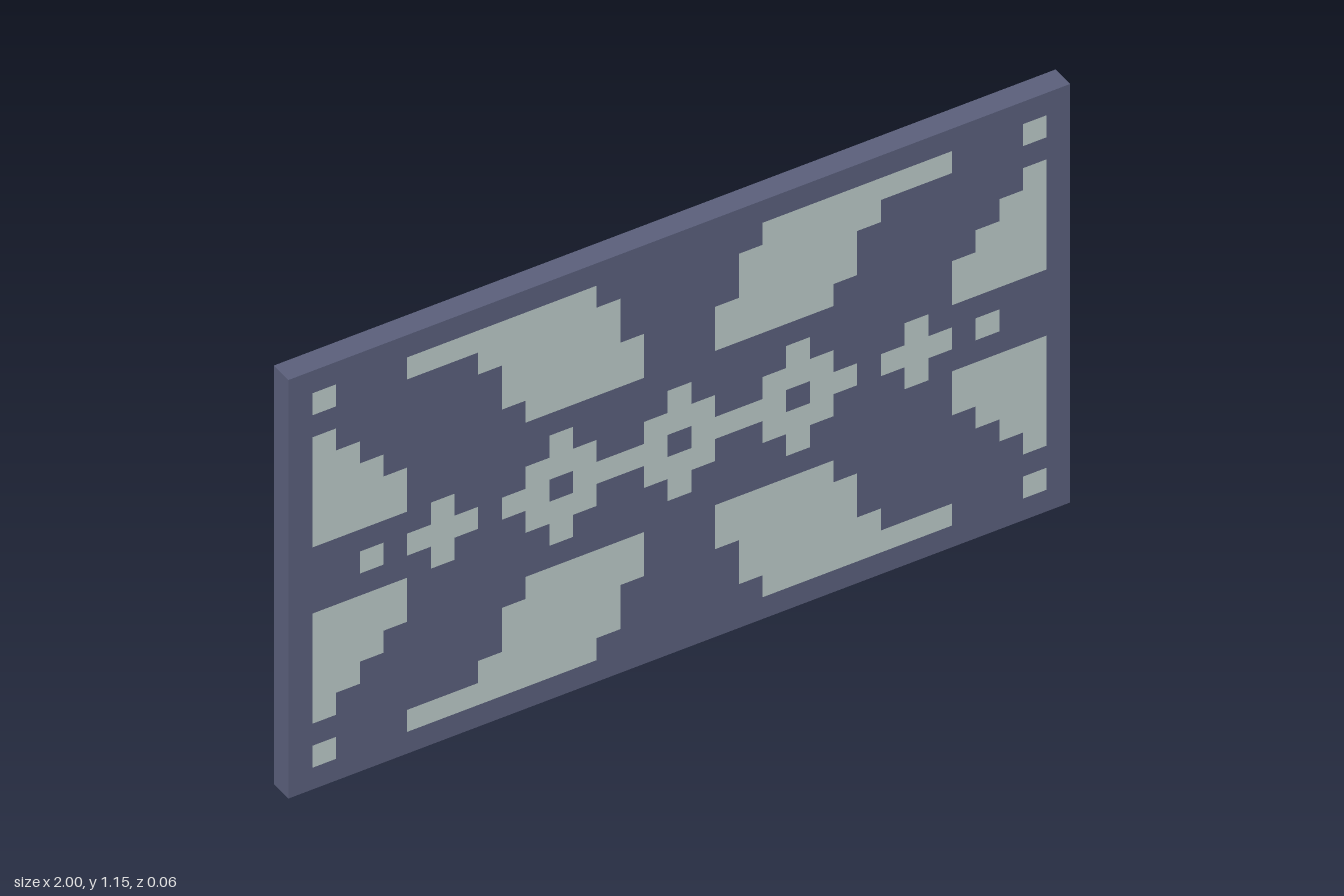
import * as THREE from 'three';
import { mergeGeometries } from 'three/addons/utils/BufferGeometryUtils.js';

const COLS = 33, ROWS = 19, CELL = 2 / COLS;
const HEIGHT = ROWS * CELL, DEPTH = CELL;

// Each motif is given for the upper left quarter as [row, first column, last column]
const MOTIFS = {
  cornerSquares: [[1, 1, 1]],
  sideFans: [[3, 1, 1], [4, 1, 2], [5, 1, 3], [6, 1, 4], [7, 1, 4]],
  petals: [[1, 5, 12], [2, 8, 13], [3, 9, 13], [4, 9, 14], [5, 10, 14]],
  sideDots: [[9, 3, 3]],
  crosses: [[8, 6, 6], [9, 5, 7]],
  sideLozenges: [[7, 11, 11], [8, 10, 12], [9, 9, 10], [9, 12, 13]],
  centreLozenge: [[7, 16, 16], [8, 15, 17], [9, 14, 15], [9, 17, 18]],
};

// Mirror runs across both axes, dropping the ones that land on themselves
function mirrorRuns(runs) {
  const found = new Map();
  for (const [row, a, b] of runs) {
    for (const r of [row, ROWS - 1 - row]) {
      for (const run of [[r, a, b], [r, COLS - 1 - b, COLS - 1 - a]]) found.set(run.join(), run);
    }
  }
  return [...found.values()];
}

// Thin painted faces on the front and back of the panel
function motifGeometry(runs) {
  const faces = [];
  for (const [row, a, b] of mirrorRuns(runs)) {
    const x = ((a + b + 1) / 2) * CELL - 1;
    const y = HEIGHT - (row + 0.5) * CELL;
    const z = DEPTH / 2 + 0.001;
    const width = (b - a + 1) * CELL;
    faces.push(new THREE.PlaneGeometry(width, CELL).translate(x, y, z));
    faces.push(new THREE.PlaneGeometry(width, CELL).rotateY(Math.PI).translate(x, y, -z));
  }
  return mergeGeometries(faces);
}

export function createModel() {
  const slate = new THREE.MeshStandardMaterial({ color: 0x5a5f7b });
  slate.name = 'slate blue';
  const pale = new THREE.MeshStandardMaterial({ color: 0xbac9c7 });
  pale.name = 'pale grey green';

  const model = new THREE.Group();
  model.name = 'patternedPanel';

  // Slab
  const panel = new THREE.Mesh(new THREE.BoxGeometry(2, HEIGHT, DEPTH).translate(0, HEIGHT / 2, 0), slate);
  panel.name = 'panel';
  model.add(panel);

  // Pixel ornament
  for (const [name, runs] of Object.entries(MOTIFS)) {
    const motif = new THREE.Mesh(motifGeometry(runs), pale);
    motif.name = name;
    model.add(motif);
  }
  return model;
}
